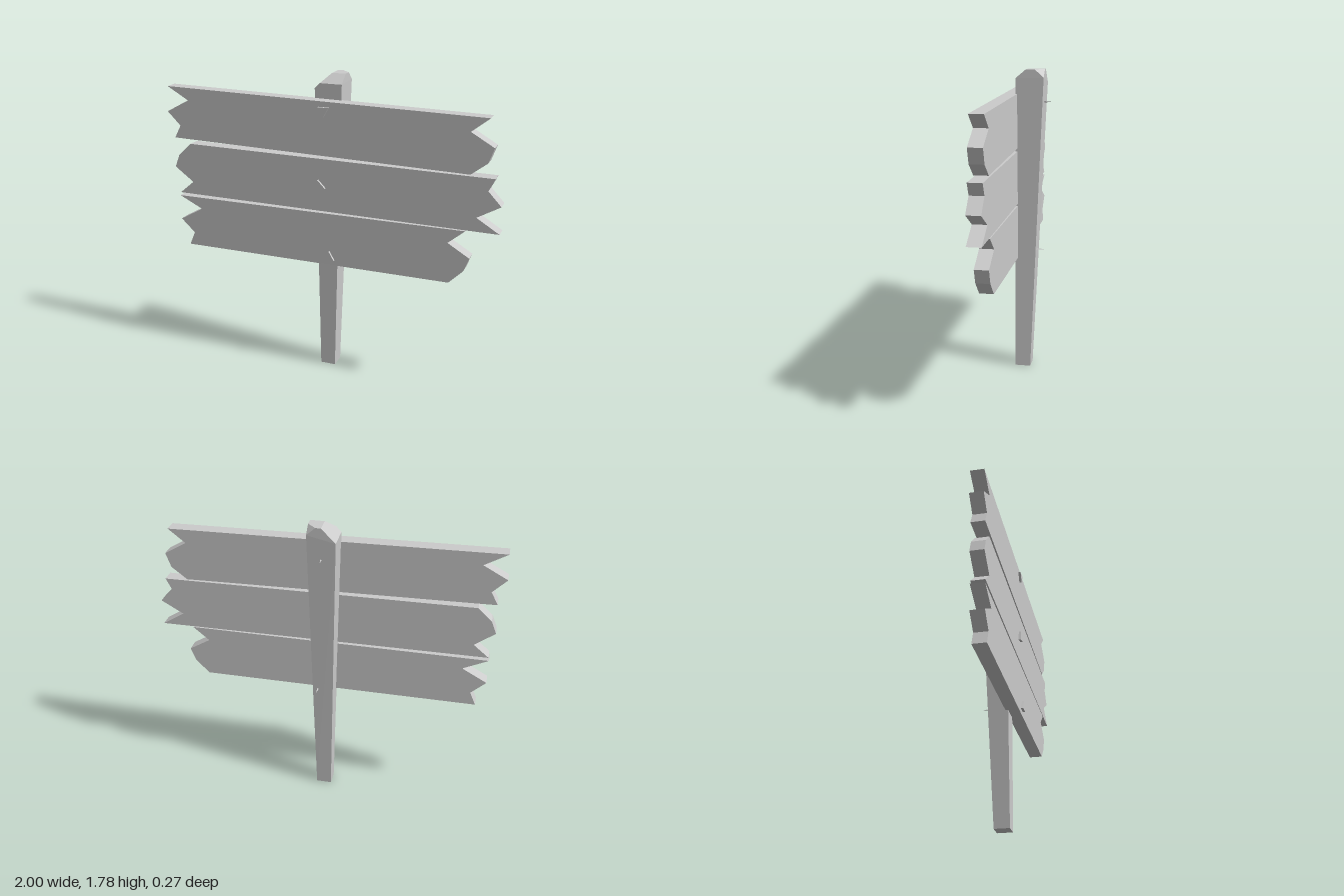
import * as THREE from 'three';
import { ConvexGeometry } from 'three/addons/geometries/ConvexGeometry.js';

const material = new THREE.MeshStandardMaterial({ color: 0xcccccc, flatShading: true });

function addPart(group, name, geometry) {
  const mesh = new THREE.Mesh(geometry, material);
  mesh.name = name;
  group.add(mesh);
  return mesh;
}

// Square post, wider at the top, with a roughly hewn tip
function postGeometry() {
  const corners = [
    // foot
    [-0.055, 0, -0.02], [0.035, 0, -0.02], [0.035, 0, 0.07], [-0.055, 0, 0.07],
    // left slope
    [-0.09, 1.70, -0.10], [-0.09, 1.70, 0.06], [-0.01, 1.78, -0.10], [-0.01, 1.78, 0],
    // front chamfer
    [-0.06, 1.73, 0.06], [0.07, 1.73, 0.06], [0.07, 1.78, 0],
    // clipped back corner
    [0.02, 1.78, -0.10], [0.07, 1.78, -0.05], [0.07, 1.735, -0.10],
  ];
  return new ConvexGeometry(corners.map((c) => new THREE.Vector3(...c)));
}

// Plank cut from a ragged outline
function plankGeometry(outline) {
  const shape = new THREE.Shape(outline.map(([x, y]) => new THREE.Vector2(x, y)));
  return new THREE.ExtrudeGeometry(shape, { depth: 0.078, bevelEnabled: false }).translate(0, 0, 0.05);
}

// Three-sided nail running along z, with a flat head at the front
function nailGeometry(tip) {
  const profile = [
    [0, tip], [0.008, tip + 0.05], [0.008, 0.127], [0.037, 0.127], [0.037, 0.142], [0, 0.142],
  ].map(([r, z]) => new THREE.Vector2(r, z));
  return new THREE.LatheGeometry(profile, 3).rotateX(Math.PI / 2);
}

export function createModel() {
  const sign = new THREE.Group();
  sign.name = 'signpost';

  addPart(sign, 'post', postGeometry());

  // Outlines run clockwise from the upper left corner
  const planks = {
    topPlank: [
      [-0.99, 1.66], [0.91, 1.63], [0.81, 1.55], [0.94, 1.475], [0.91, 1.39],
      [0.82, 1.32], [-0.96, 1.355], [-0.92, 1.43], [-1, 1.51], [-0.86, 1.585],
    ],
    middlePlank: [
      [-0.86, 1.325], [0.955, 1.31], [0.92, 1.24], [0.995, 1.16], [0.865, 1.085],
      [0.995, 1.005], [-0.945, 1.015], [-0.855, 1.09], [-0.97, 1.175], [-0.94, 1.25],
    ],
    bottomPlank: [
      [-0.95, 0.995], [0.81, 1.0], [0.715, 0.92], [0.84, 0.845], [0.81, 0.765],
      [0.73, 0.685], [-0.90, 0.685], [-0.865, 0.765], [-0.95, 0.845], [-0.805, 0.925],
    ],
  };
  for (const [name, outline] of Object.entries(planks)) addPart(sign, name, plankGeometry(outline));

  // Nails: x, y, turn about their axis, z of the tip
  const nails = {
    topNail: [-0.01, 1.595, 0, -0.13],
    middleNail: [-0.036, 1.16, Math.PI + 0.25, -0.06],
    bottomNail: [0.022, 0.735, Math.PI, -0.10],
  };
  for (const [name, [x, y, turn, tip]] of Object.entries(nails)) {
    const nail = addPart(sign, name, nailGeometry(tip));
    nail.position.set(x, y, 0);
    nail.rotation.z = turn;
  }

  return sign;
}
